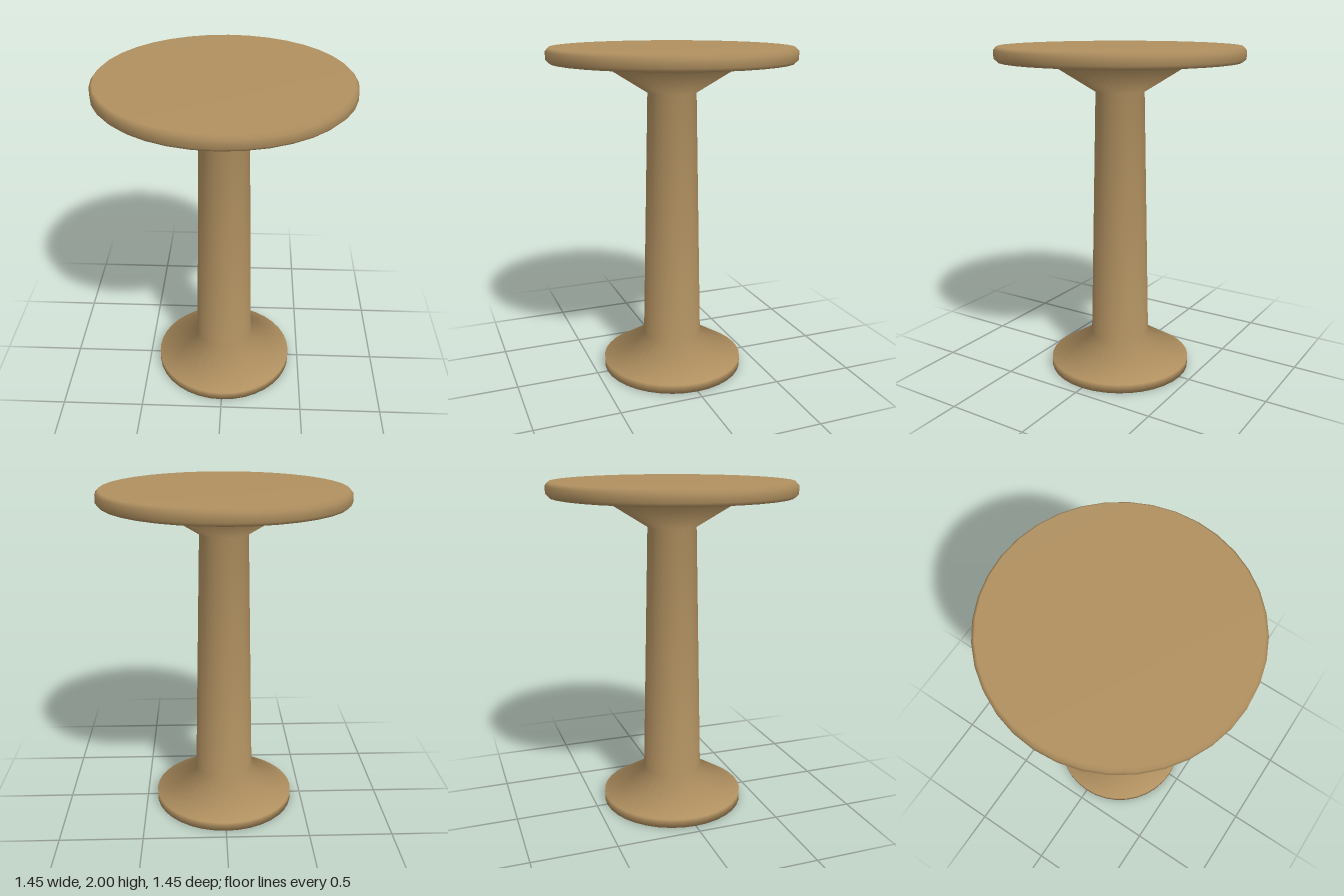
import * as THREE from 'three';

const SIDES = 36;

export function createModel() {
  const model = new THREE.Group();
  model.name = 'pedestalTable';

  const wood = new THREE.MeshStandardMaterial({ color: 0xb09060 });
  wood.name = 'wood';

  // Turns a profile of [radius, height] pairs, listed from the bottom up
  const turned = (name, profile) => {
    const points = profile.map(([r, y]) => new THREE.Vector2(r, y));
    const mesh = new THREE.Mesh(new THREE.LatheGeometry(points, SIDES), wood);
    mesh.name = name;
    model.add(mesh);
  };

  // Foot, tapered column and flared support in one turned piece
  turned('pedestal', [
    [0, 0], [0.435, 0], [0.435, 0.055],
    [0.18, 0.215], [0.145, 1.735], [0.435, 1.915],
  ]);

  // Round top with chamfered rim
  turned('tableTop', [
    [0, 1.913], [0.708, 1.913], [0.727, 1.932],
    [0.727, 1.98], [0.708, 2], [0, 2],
  ]);

  return model;
}
